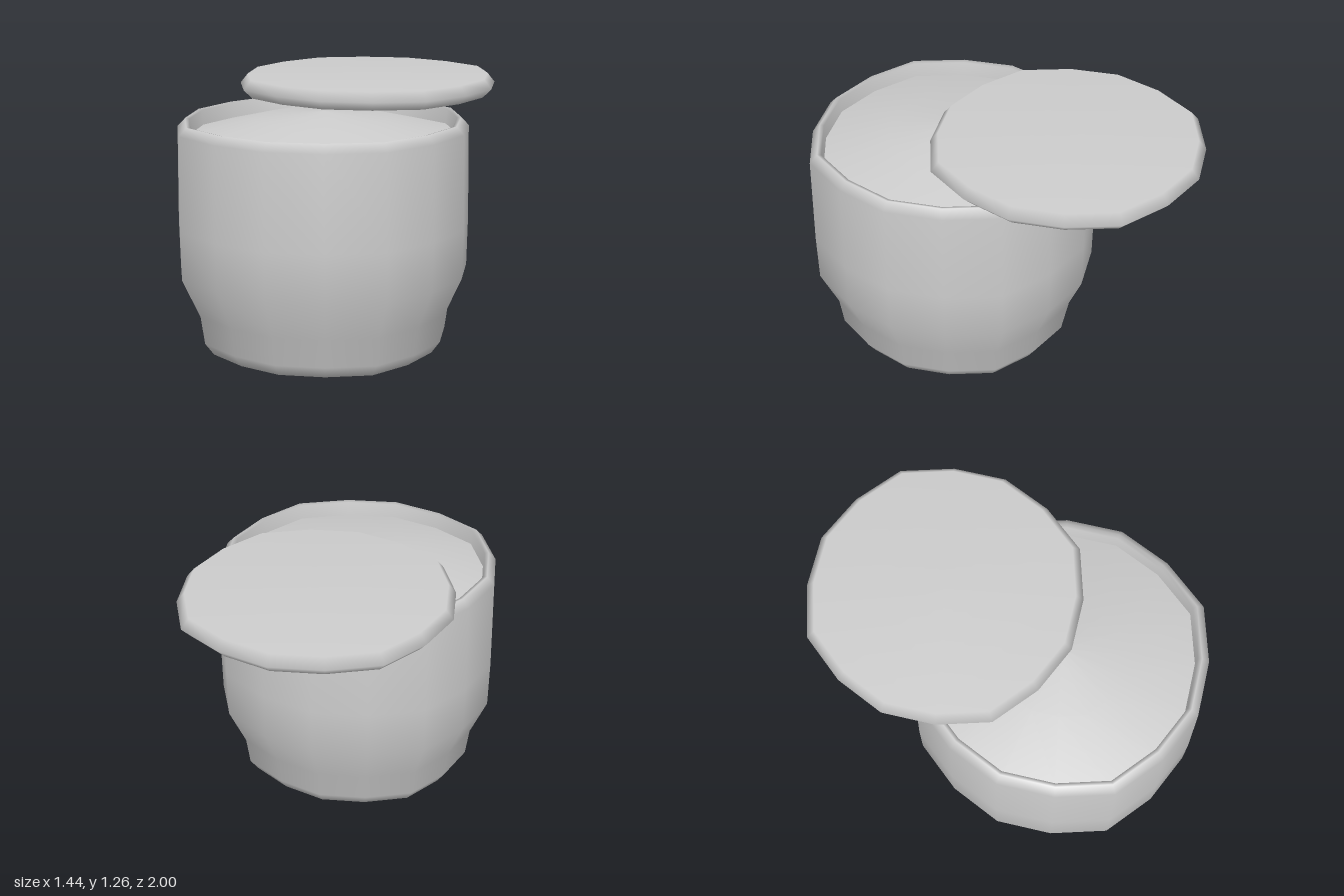
import * as THREE from 'three';

const SIDES = 16;
const material = new THREE.MeshStandardMaterial({ color: 0xcccccc });

// Sixteen-sided turned part, slightly squared off towards the diagonals
function turned(name, profile, z) {
  const points = profile.map(([r, y]) => new THREE.Vector2(r, y));
  const geometry = new THREE.LatheGeometry(points, SIDES);
  const pos = geometry.attributes.position;
  for (let i = 0; i < pos.count; i++) {
    const step = Math.floor(i / points.length) % 4;
    const k = step === 2 ? 1.03 : step === 0 ? 1 : 0.992;
    pos.setX(i, pos.getX(i) * k);
    pos.setZ(i, pos.getZ(i) * k);
  }
  const mesh = new THREE.Mesh(geometry, material);
  mesh.name = name;
  mesh.position.z = z;
  return mesh;
}

export function createModel() {
  const group = new THREE.Group();
  group.name = 'openJar';

  // Jar: base, tapered foot, belly, rounded rim and inner wall
  group.add(turned('jar', [
    [0, 0], [0.565, 0], [0.608, 0.06], [0.628, 0.2], [0.713, 0.39],
    [0.718, 0.63], [0.713, 1.09], [0.675, 1.13], [0.655, 1.125], [0.645, 1.0],
  ], 0.28));

  // Heaped contents just below the rim
  group.add(turned('contents', [
    [0.655, 1.05], [0.33, 1.13], [0, 1.165],
  ], 0.28));

  // Lid, slid towards the back
  group.add(turned('lid', [
    [0, 1.17], [0.622, 1.17], [0.666, 1.215], [0.628, 1.262], [0, 1.264],
  ], -0.335));

  return group;
}
